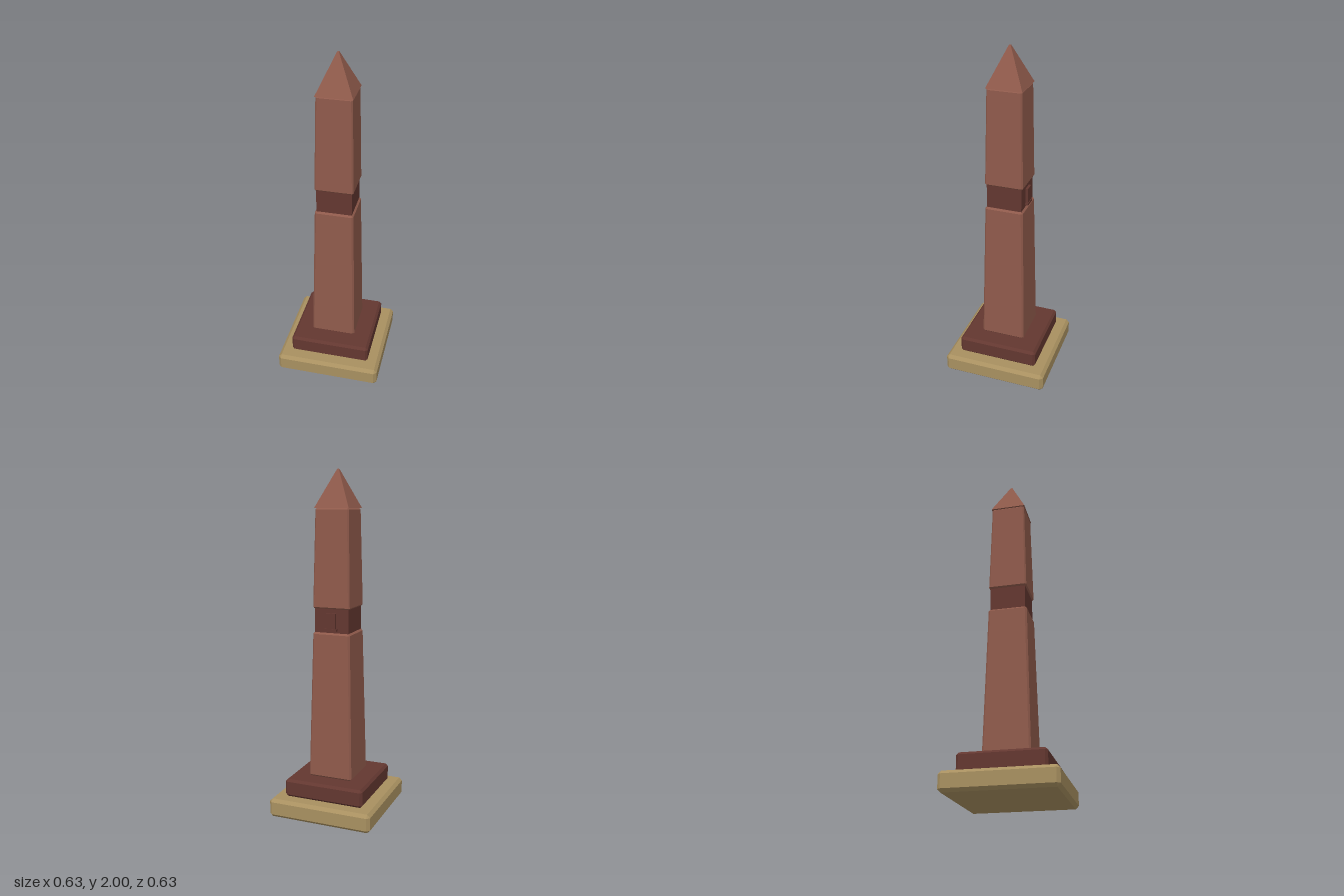
import * as THREE from 'three';
import { ConvexGeometry } from 'three/addons/geometries/ConvexGeometry.js';

const stone = (color) => new THREE.MeshStandardMaterial({ color, flatShading: true });

// Square block with chamfered edges, tapering from half-width r0 (at y0) to r1 (at y1)
function chamferedBlock(y0, y1, r0, r1, bevel) {
  const points = [];
  const ends = [[y0, r0, 1], [y1, r1, -1]];
  for (const [y, r, inward] of ends)
    for (const sx of [-1, 1])
      for (const sz of [-1, 1]) {
        const i = r - bevel, yb = y + inward * bevel;
        points.push(
          new THREE.Vector3(sx * i, y, sz * i),
          new THREE.Vector3(sx * r, yb, sz * i),
          new THREE.Vector3(sx * i, yb, sz * r));
      }
  return new ConvexGeometry(points);
}

export function createModel() {
  const model = new THREE.Group();
  model.name = 'obelisk';
  const sand = stone(0xa89060);
  const darkRed = stone(0x633730);
  const red = stone(0x8f5a4b);

  const add = (name, geometry, material, parent = model) => {
    const mesh = new THREE.Mesh(geometry, material);
    mesh.name = name;
    parent.add(mesh);
    return mesh;
  };

  // Stepped foot
  add('base', chamferedBlock(0, 0.111, 0.313, 0.313, 0.018), sand);
  add('plinth', chamferedBlock(0.111, 0.218, 0.241, 0.241, 0.014), darkRed);

  // Tapered shaft in two lengths, with a recessed neck between them
  add('lowerShaft', chamferedBlock(0.218, 1.086, 0.133, 0.113, 0.01), red);
  add('neck', new THREE.BoxGeometry(0.206, 0.17, 0.206).translate(0, 1.155, 0), darkRed);
  add('upperShaft', chamferedBlock(1.224, 1.786, 0.112, 0.1, 0.008), red);

  // Pyramid cap with a tiny flat tip
  const cap = new THREE.CylinderGeometry(0.005 * Math.SQRT2, 0.104 * Math.SQRT2, 0.215, 4);
  add('cap', cap.rotateY(Math.PI / 4).translate(0, 1.8925, 0), red);

  // Small panel with a ledge on the back of the neck
  const plaque = new THREE.Group();
  plaque.name = 'plaque';
  model.add(plaque);
  add('panel', new THREE.BoxGeometry(0.058, 0.1, 0.02).translate(0, 1.15, -0.108), darkRed, plaque);
  add('ledge', new THREE.BoxGeometry(0.072, 0.014, 0.024).translate(0, 1.105, -0.11), darkRed, plaque);

  return model;
}
